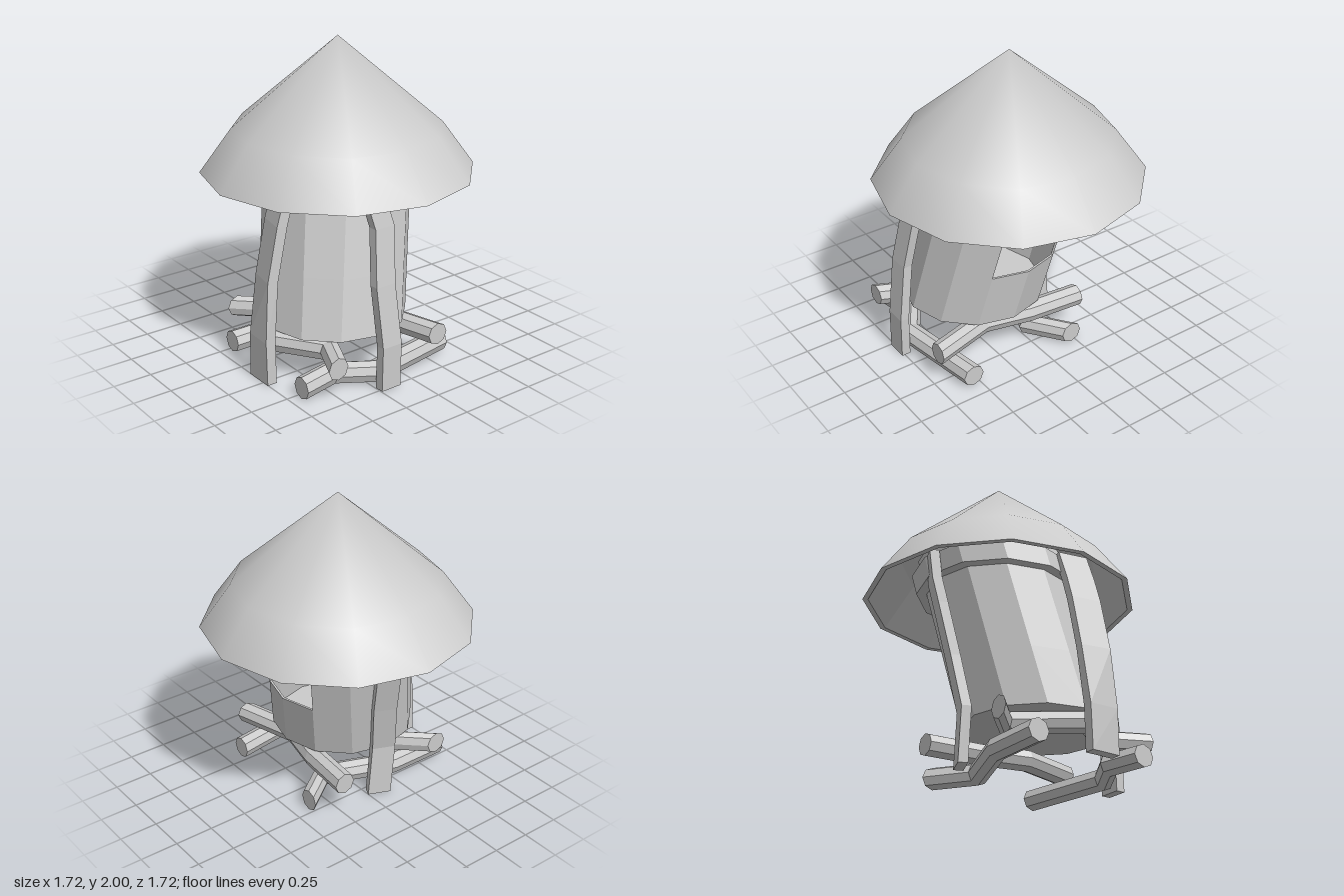
import * as THREE from 'three';
import { mergeVertices } from 'three/addons/utils/BufferGeometryUtils.js';

const flat = new THREE.MeshStandardMaterial({ color: 0xcccccc, flatShading: true, side: THREE.DoubleSide });
const smooth = new THREE.MeshStandardMaterial({ color: 0xcccccc });
const V = (x, y, z) => new THREE.Vector3(x, y, z);

function add(group, name, geometry, material = flat) {
  const mesh = new THREE.Mesh(geometry, material);
  mesh.name = name;
  group.add(mesh);
}

// Places each row of a unit-high geometry on a frame: centre p and section axes u and v
function followFrames(geometry, frames) {
  const pos = geometry.attributes.position;
  for (let i = 0; i < pos.count; i++) {
    const { p, u, v } = frames[Math.round((pos.getY(i) + 0.5) * (frames.length - 1))];
    const q = p.clone().addScaledVector(u, pos.getX(i)).addScaledVector(v, pos.getZ(i));
    pos.setXYZ(i, q.x, q.y, q.z);
  }
  geometry.computeVertexNormals();
  return geometry;
}

// Plank leg: rows are [x, y, z, yaw], yaw turns the broad face outwards
function leg(rows, width, thickness) {
  const geo = new THREE.BoxGeometry(width, 1, thickness, 1, rows.length - 1, 1);
  return followFrames(geo, rows.map(([x, y, z, yaw]) => ({
    p: V(x, y, z),
    u: V(Math.cos(yaw), 0, -Math.sin(yaw)),
    v: V(Math.sin(yaw), 0, Math.cos(yaw)),
  })));
}

// Crooked eight-sided log: points are [x, z] at a fixed height, u points sideways
function log(points, y, u) {
  const geo = new THREE.CylinderGeometry(0.071, 0.071, 1, 8, points.length - 1);
  return followFrames(geo, points.map(([x, z]) => ({ p: V(x, y, z), u, v: V(0, 1, 0) })));
}

// Points of a twelve-sided ring between two corner numbers
function ring(radius, from, to) {
  const pts = [];
  for (let i = from; i <= to; i++) {
    const a = i * Math.PI / 6;
    pts.push(new THREE.Vector2(radius * Math.cos(a), radius * Math.sin(a)));
  }
  return pts;
}

// Stands a shape up between two heights and leans it
function leaningWall(shape, y0, y1) {
  const geo = new THREE.ExtrudeGeometry(shape, { depth: y1 - y0, bevelEnabled: false });
  geo.rotateX(-Math.PI / 2).translate(0, y0, 0);
  const pos = geo.attributes.position;
  for (let i = 0; i < pos.count; i++) {
    const lean = 0.18 * (pos.getY(i) - 1.24);
    pos.setX(i, pos.getX(i) + lean);
    pos.setZ(i, pos.getZ(i) - lean);
  }
  geo.computeVertexNormals();
  return geo;
}

// Lathe with shared corners, so the shading runs smoothly over seam and tip
function smoothLathe(points) {
  const geo = new THREE.LatheGeometry(points, 12);
  geo.deleteAttribute('normal');
  geo.deleteAttribute('uv');
  const merged = mergeVertices(geo, 1e-4);
  merged.computeVertexNormals();
  return merged;
}

export function createModel() {
  const model = new THREE.Group();

  // Roof: smooth outside, faceted inside, thin rim
  const roof = new THREE.Group();
  roof.name = 'roof';
  model.add(roof);
  const profile = pts => pts.map(p => new THREE.Vector2(...p));
  add(roof, 'roofOutside', smoothLathe(profile([[0.86, 1.16], [0.66, 1.435], [0, 2]])), smooth);
  add(roof, 'roofInside', new THREE.LatheGeometry(
    profile([[0, 1.95], [0.62, 1.42], [0.825, 1.16], [0.86, 1.16]]), 12));

  // Leaning hollow body with a wide opening on its left
  const body = new THREE.Group();
  body.name = 'body';
  model.add(body);
  const R = 0.465, r = 0.45;
  const lower = new THREE.Shape(ring(R, 0, 11));
  lower.holes.push(new THREE.Path(ring(r, 0, 11)));
  const upper = new THREE.Shape([...ring(R, 1, 11), ...ring(r, 1, 11).reverse()]);
  add(body, 'bodyFloor', leaningWall(new THREE.Shape(ring(R - 0.005, 0, 11)), 0.295, 0.31));
  add(body, 'lowerWall', leaningWall(lower, 0.295, 0.66));
  add(body, 'upperWall', leaningWall(upper, 0.66, 1.45));

  // Collar under the roof
  const collar = new THREE.Shape(ring(0.53, 0, 11));
  collar.holes.push(new THREE.Path(ring(0.455, 0, 11)));
  add(body, 'collar', leaningWall(collar, 1.21, 1.34));

  // Three crooked legs
  const side = -Math.PI / 2, back = Math.PI - 0.4;
  add(model, 'frontLeg', leg([[-0.175, 0, 0.74, 0], [-0.17, 0.28, 0.74, 0], [-0.185, 0.66, 0.69, 0],
    [-0.15, 1, 0.63, 0], [-0.185, 1.16, 0.597, 0], [-0.17, 1.34, 0.52, 0]], 0.14, 0.06));
  add(model, 'rightLeg', leg([[-0.72, 0, 0.205, side], [-0.72, 0.28, 0.205, side - 0.05],
    [-0.678, 0.66, 0.2, side - 0.2], [-0.605, 1, 0.2, side - 0.2],
    [-0.557, 1.16, 0.2, side - 0.2], [-0.5, 1.34, 0.19, side - 0.2]], 0.19, 0.065));
  add(model, 'backLeg', leg([[-0.08, 0, -0.325, back], [-0.11, 0.34, -0.325, back], [-0.07, 0.66, -0.38, back],
    [-0.04, 1, -0.455, back], [-0.03, 1.16, -0.495, back], [-0.03, 1.34, -0.52, back]], 0.15, 0.06));

  // Lower logs run sideways, upper logs run front to back across them
  const logs = new THREE.Group();
  logs.name = 'logs';
  model.add(logs);
  const acrossU = V(0, 0, 1), alongU = V(-1, 0, 0);
  add(logs, 'lowerFrontLog', log([[-0.68, 0.55], [-0.43, 0.5], [-0.2, 0.645], [0.4, 0.55]], 0.071, acrossU));
  add(logs, 'lowerBackLog', log([[-0.68, -0.21], [-0.28, -0.21], [0.16, -0.04], [0.4, -0.215]], 0.071, acrossU));
  add(logs, 'upperRightLog', log([[-0.53, -0.375], [-0.345, -0.2], [-0.62, 0.18], [-0.42, 0.48], [-0.525, 0.71]],
    0.215, alongU));
  add(logs, 'upperLeftLog', log([[0.235, -0.375], [0.2, 0], [0.13, 0.3], [0.24, 0.71]], 0.215, alongU));

  return model;
}
